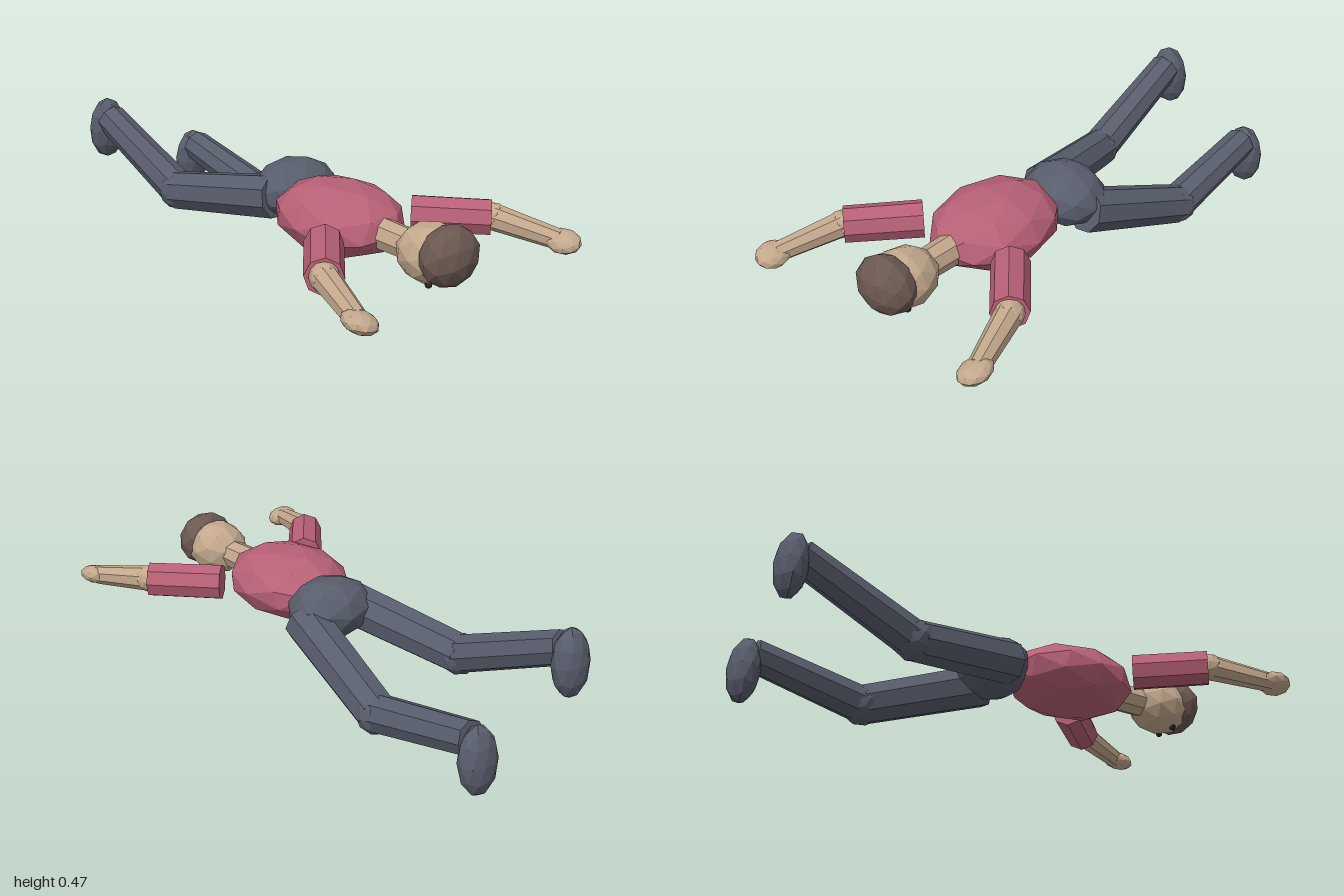
import * as THREE from 'three';

const mat = (name, color) => {
  const m = new THREE.MeshStandardMaterial({ color, flatShading: true });
  m.name = name;
  return m;
};

export function createModel() {
  const model = new THREE.Group();
  model.name = 'lyingFigure';
  const shirt = mat('shirt', 0xb76076);
  const trousers = mat('trousers', 0x585d6c);
  const skin = mat('skin', 0xc2a78c);
  const hairBrown = mat('hairBrown', 0x6b5851);
  const dark = mat('eyeDark', 0x2a2423);

  // Faceted ellipsoid whose five-fold pole lies on its local y axis
  const blob = (name, material, pos, radii, detail = 1, rot = [0, 0, 0]) => {
    const geo = new THREE.IcosahedronGeometry(1, detail);
    geo.rotateX(-Math.atan((1 + Math.sqrt(5)) / 2));
    geo.scale(...radii);
    const mesh = new THREE.Mesh(geo, material);
    mesh.name = name;
    mesh.position.set(...pos);
    mesh.rotation.set(...rot);
    model.add(mesh);
    return mesh;
  };

  // Eight-sided tapered limb between two joints
  const limb = (name, material, from, to, r0, r1) => {
    const a = new THREE.Vector3(...from), b = new THREE.Vector3(...to);
    const dir = b.clone().sub(a);
    const mesh = new THREE.Mesh(new THREE.CylinderGeometry(r1, r0, dir.length(), 8), material);
    mesh.name = name;
    mesh.position.copy(a).add(b).multiplyScalar(0.5);
    mesh.quaternion.setFromUnitVectors(new THREE.Vector3(0, 1, 0), dir.normalize());
    model.add(mesh);
    return mesh;
  };

  const prone = [Math.PI / 2, 0, 0];

  // Trunk
  blob('torso', shirt, [0, 0.297, 0.315], [0.21, 0.265, 0.13], 1, prone);
  blob('pelvis', trousers, [0.062, 0.302, 0.005], [0.168, 0.14, 0.115], 1, [Math.PI / 2, 0, 0.12]);

  // Head, face down
  limb('neck', skin, [0, 0.297, 0.54], [0, 0.297, 0.69], 0.058, 0.055);
  blob('head', skin, [0, 0.3, 0.765], [0.113, 0.13, 0.107], 1, prone);
  blob('hair', hairBrown, [0, 0.314, 0.842], [0.12, 0.085, 0.108], 1, prone);

  for (const s of [1, -1]) {
    const side = s > 0 ? 'left' : 'right';
    blob(side + 'Eye', dark, [s * 0.042, 0.207, 0.795], [0.013, 0.013, 0.013]);

    // Arms stretched forward
    const elbow = [s * 0.4, 0.3, 0.68], wrist = [s * 0.48, 0.265, 0.915];
    limb(side + 'Sleeve', shirt, [s * 0.21, 0.297, 0.465], [s * 0.397, 0.297, 0.675], 0.069, 0.067);
    blob(side + 'Elbow', skin, elbow, [0.052, 0.052, 0.052]);
    limb(side + 'Forearm', skin, elbow, wrist, 0.049, 0.037);
    blob(side + 'Hand', skin, [s * 0.483, 0.263, 0.93], [0.058, 0.066, 0.036], 1,
      [Math.PI / 2 + 0.12, s * 0.25, 0]);
  }

  // Legs, each with its own bend
  const legs = [
    { side: 'right', hip: [-0.04, 0.29, 0.01], knee: [-0.145, 0.208, -0.455],
      ankle: [-0.155, 0.395, -0.905], foot: [-0.155, 0.35, -0.936] },
    { side: 'left', hip: [0.17, 0.275, 0.02], knee: [0.253, 0.112, -0.445],
      ankle: [0.256, 0.2, -0.88], foot: [0.256, 0.133, -0.91] },
  ];
  for (const { side, hip, knee, ankle, foot } of legs) {
    limb(side + 'Thigh', trousers, hip, knee, 0.085, 0.076);
    blob(side + 'Knee', trousers, knee, [0.077, 0.077, 0.077]);
    limb(side + 'Shin', trousers, knee, ankle, 0.071, 0.062);
    blob(side + 'Foot', trousers, foot, [0.077, 0.128, 0.058], 1, [0.06, 0, 0]);
  }
  return model;
}
